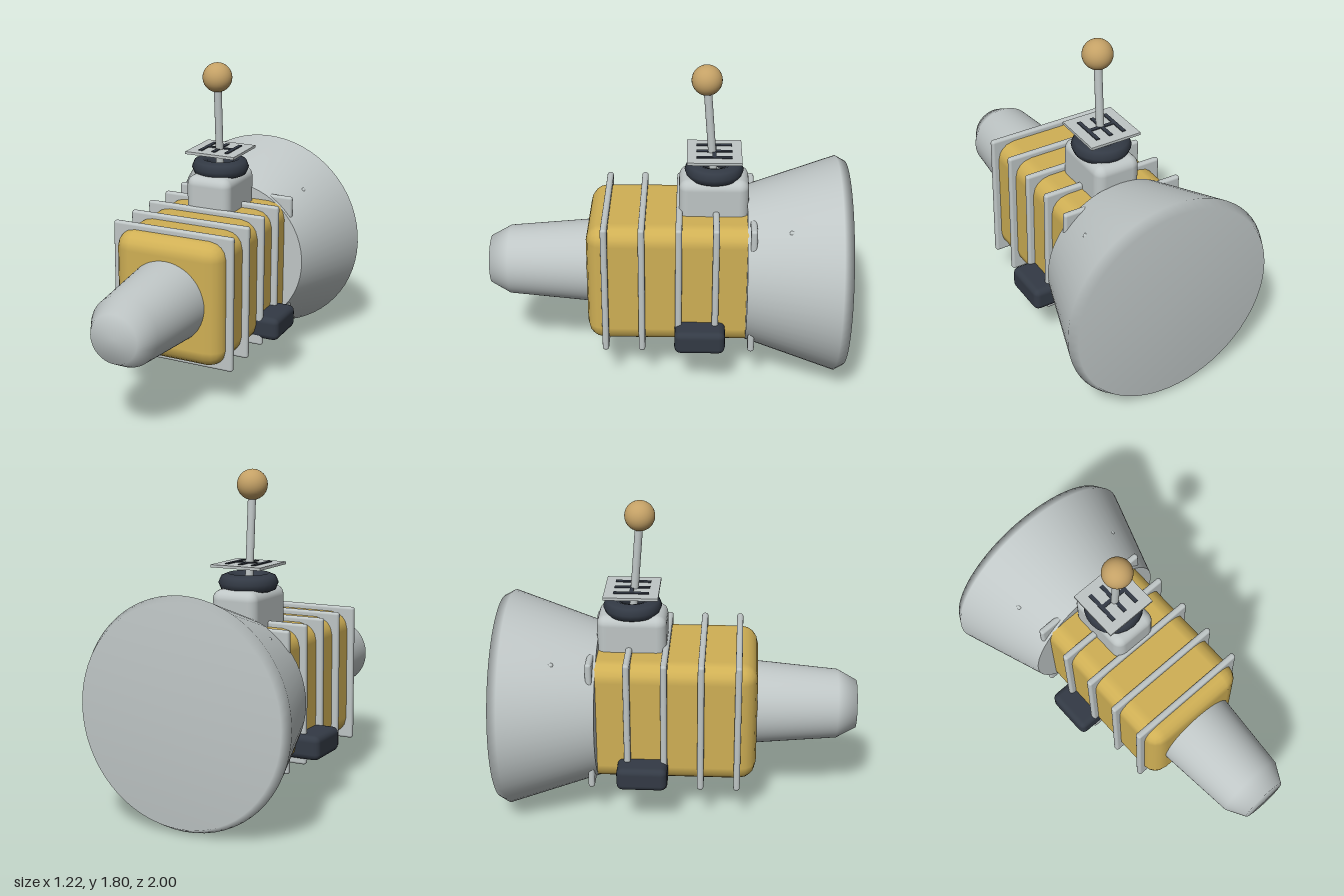
import * as THREE from 'three';
import { RoundedBoxGeometry } from 'three/addons/geometries/RoundedBoxGeometry.js';

const AXIS_Y = 0.613; // height of the main shaft axis
const SHIFT_Z = -0.26; // centre of the shifter assembly

function material(name, color) {
  const m = new THREE.MeshStandardMaterial({ color });
  m.name = name;
  return m;
}

export function createModel() {
  const steel = material('steel grey', 0xbfc6c6);
  const gold = material('case gold', 0xd0b055);
  const dark = material('dark rubber', 0x333a45);
  const tan = material('knob tan', 0xc4a166);

  const group = new THREE.Group();
  group.name = 'gearbox';

  const add = (name, geometry, mat, x = 0, y = 0, z = 0) => {
    const mesh = new THREE.Mesh(geometry, mat);
    mesh.name = name;
    mesh.position.set(x, y, z);
    group.add(mesh);
    return mesh;
  };
  // Profile of [radius, z] points turned around the shaft axis
  const turned = (profile) =>
    new THREE.LatheGeometry(profile.map(([r, z]) => new THREE.Vector2(r, z)), 64).rotateX(Math.PI / 2);

  // Main case, running back inside the bell housing
  add('case', new RoundedBoxGeometry(0.65, 0.715, 1.42, 2, 0.1), gold, 0, AXIS_Y, -0.27);

  // Cooling ribs; the rear ones only poke their corners through the bell
  for (let i = 0; i < 6; i++) {
    add('rib', new RoundedBoxGeometry(0.72, 0.77, 0.036, 2, 0.015), steel, 0, 0.616, 0.335 - i * 0.203);
  }

  // Bell housing and tail housing
  add('bellHousing', turned([[0, -1], [0.58, -1], [0.61, -0.945], [0.44, -0.445]]), steel, 0, AXIS_Y, 0);
  add('bellFront', new THREE.CircleGeometry(0.44, 64), steel, 0, AXIS_Y, -0.445);
  add('tailHousing', turned([[0.239, 0.38], [0.195, 0.89], [0.135, 1], [0, 1]]), steel, 0, AXIS_Y, 0);

  // Side mounts
  for (const side of [-1, 1]) {
    add('mount', new RoundedBoxGeometry(0.2, 0.135, 0.28, 2, 0.035), dark, side * 0.355, 0.337, -0.19);
  }

  // Shift tower, boot and gate plate
  add('shiftTower', new RoundedBoxGeometry(0.27, 0.31, 0.385, 3, 0.055), steel, 0, 1.02, SHIFT_Z);
  add('shiftBoot', new THREE.TorusGeometry(0.112, 0.051, 8, 24).rotateX(Math.PI / 2), dark, 0, 1.2, SHIFT_Z);
  add('gatePlate', new THREE.BoxGeometry(0.3, 0.015, 0.3), steel, 0, 1.296, SHIFT_Z);
  for (const x of [-0.08, 0, 0.08]) {
    add('gateSlot', new THREE.BoxGeometry(0.022, 0.006, 0.195), dark, x, 1.306, SHIFT_Z);
  }
  add('gateCrossSlot', new THREE.BoxGeometry(0.18, 0.006, 0.022), dark, 0, 1.306, SHIFT_Z);

  // Lever, leaning slightly forward, with its round knob
  const foot = new THREE.Vector3(0, 1.16, -0.258);
  const top = new THREE.Vector3(0, 1.722, -0.214);
  const lever = add('shiftLever', new THREE.CylinderGeometry(0.022, 0.022, foot.distanceTo(top), 20), steel);
  lever.position.lerpVectors(foot, top, 0.5);
  lever.quaternion.setFromUnitVectors(new THREE.Vector3(0, 1, 0), top.clone().sub(foot).normalize());
  add('shiftKnob', new THREE.SphereGeometry(0.083, 32, 20), tan, top.x, top.y, top.z);

  return group;
}
